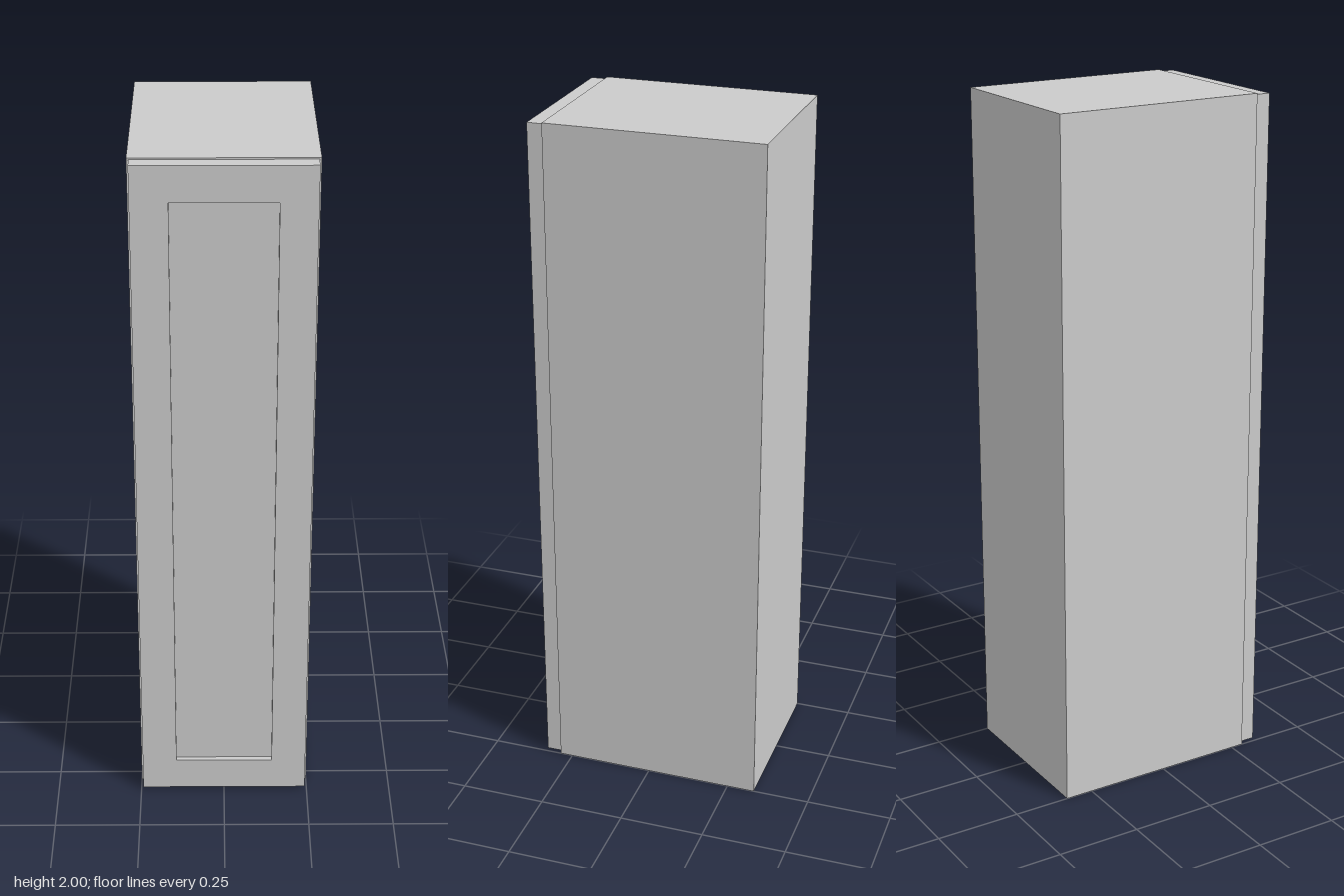
import * as THREE from 'three';

const material = new THREE.MeshStandardMaterial({ color: 0xcccccc });

// Box given by its lower and upper limits on each axis
function board(name, [x0, x1], [y0, y1], [z0, z1]) {
  const geometry = new THREE.BoxGeometry(x1 - x0, y1 - y0, z1 - z0);
  geometry.translate((x0 + x1) / 2, (y0 + y1) / 2, (z0 + z1) / 2);
  const mesh = new THREE.Mesh(geometry, material);
  mesh.name = name;
  return mesh;
}

function createCarcass() {
  const group = new THREE.Group();
  group.name = 'carcass';
  const t = 0.04, half = 0.25, inner = half - t;
  const back = -0.333, front = 0.288;
  group.add(
    board('leftSide', [inner, half], [0, 2], [back, front]),
    board('rightSide', [-half, -inner], [0, 2], [back, front]),
    board('topPanel', [-inner, inner], [2 - t, 2], [back, front]),
    board('bottomPanel', [-inner, inner], [0, t], [back, front]),
    board('backPanel', [-inner, inner], [t, 2 - t], [back, back + t])
  );
  return group;
}

function createDoor() {
  const group = new THREE.Group();
  group.name = 'door';
  const w = 0.244, y0 = 0.007, y1 = 1.996, rail = 0.101;
  const z0 = 0.289, z1 = 0.333;

  // Frame with a rectangular opening
  const shape = new THREE.Shape([[-w, y0], [w, y0], [w, y1], [-w, y1]]
    .map(([x, y]) => new THREE.Vector2(x, y)));
  const a = w - rail, b = y0 + rail, c = y1 - rail;
  shape.holes.push(new THREE.Path([[-a, b], [-a, c], [a, c], [a, b]]
    .map(([x, y]) => new THREE.Vector2(x, y))));
  const geometry = new THREE.ExtrudeGeometry(shape, { depth: z1 - z0, bevelEnabled: false });
  geometry.translate(0, 0, z0);
  const frame = new THREE.Mesh(geometry, material);
  frame.name = 'doorFrame';

  // Recessed centre panel
  group.add(frame, board('doorPanel', [-a, a], [b, c], [z0 + 0.008, z1 - 0.016]));
  return group;
}

export function createModel() {
  const model = new THREE.Group();
  model.name = 'tallCabinet';
  model.add(createCarcass(), createDoor());
  return model;
}
